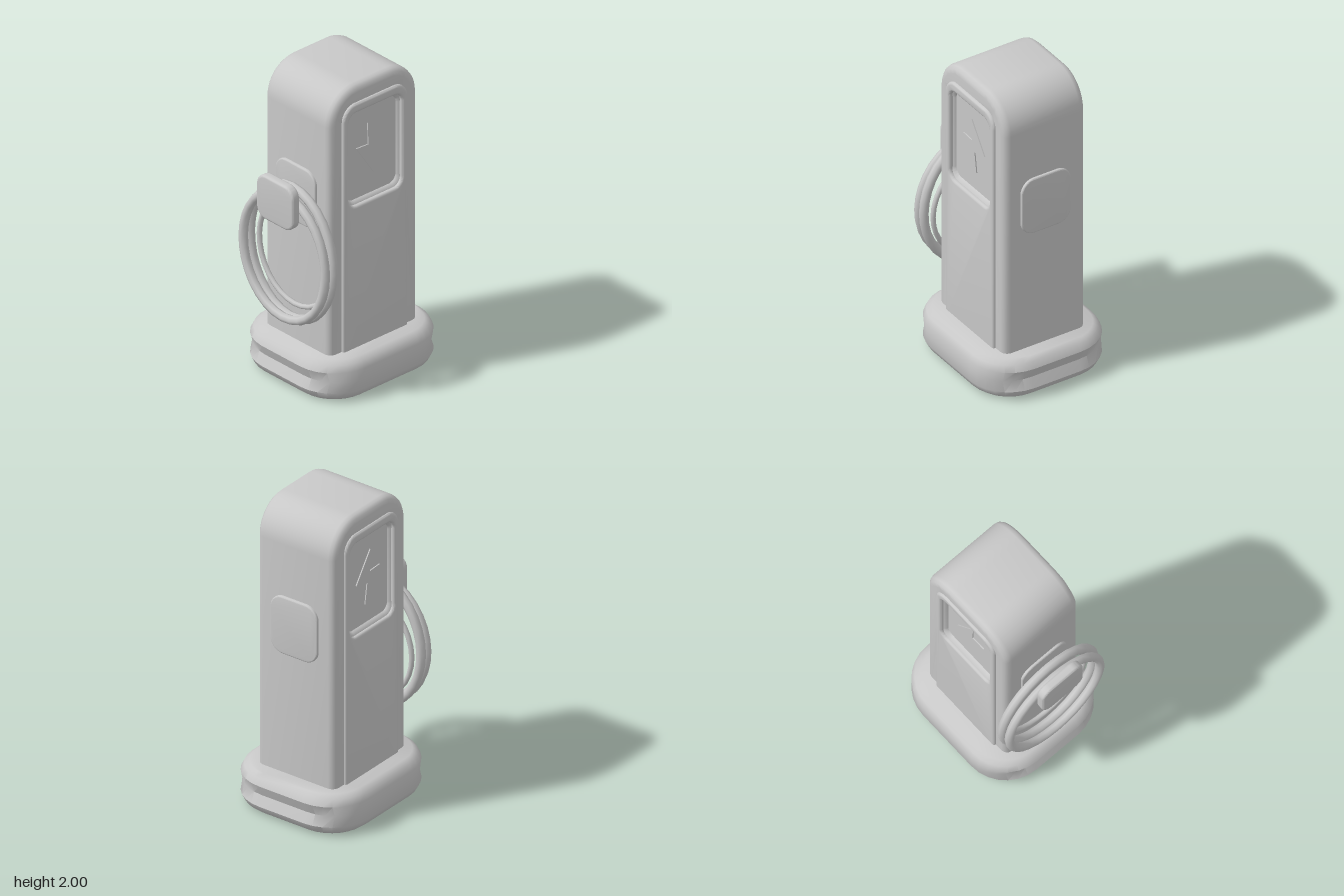
import * as THREE from 'three';
import { toCreasedNormals, mergeVertices } from 'three/addons/utils/BufferGeometryUtils.js';

// Rounded rectangle outline; separate radii for the upper and lower corners
function roundRect(target, x0, x1, y0, y1, rTop, rLow = rTop) {
  target.moveTo(x0 + rLow, y0);
  target.lineTo(x1 - rLow, y0);
  if (rLow) target.absarc(x1 - rLow, y0 + rLow, rLow, -Math.PI / 2, 0);
  target.lineTo(x1, y1 - rTop);
  target.absarc(x1 - rTop, y1 - rTop, rTop, 0, Math.PI / 2);
  target.lineTo(x0 + rTop, y1);
  target.absarc(x0 + rTop, y1 - rTop, rTop, Math.PI / 2, Math.PI);
  target.lineTo(x0, y0 + rLow);
  if (rLow) target.absarc(x0 + rLow, y0 + rLow, rLow, Math.PI, Math.PI * 1.5);
  return target;
}

// Extrusion from z0 to z1 whose bevel stays inside the outline
function slab(shape, z0, z1, bevel, thick = bevel) {
  const geo = new THREE.ExtrudeGeometry(shape, {
    depth: z1 - z0 - 2 * thick, bevelEnabled: true, bevelSize: bevel,
    bevelThickness: thick, bevelOffset: -bevel, bevelSegments: 3, curveSegments: 6,
  });
  geo.translate(0, 0, z0 + thick);
  return toCreasedNormals(geo, 0.7);
}

// Soft foot: rounded rings, with a notch running round the two x ends
function baseGeometry() {
  const rings = [[0, 0.052], [0.025, 0.02], [0.065, 0], [0.13, 0], [0.2, 0], [0.24, 0.02], [0.262, 0.052]];
  const perCorner = 8, n = perCorner * 4, pos = [], index = [];
  for (const [y, inset] of rings) {
    for (let i = 0; i < n; i++) {
      const corner = Math.floor(i / perCorner);
      const a = (corner + (i % perCorner) / (perCorner - 1)) * Math.PI / 2;
      const sx = corner === 0 || corner === 3 ? 1 : -1, sz = corner < 2 ? 1 : -1;
      const r = 0.27 - inset;
      let x = sx * 0.21 + r * Math.cos(a);
      const z = sz * 0.163 + r * Math.sin(a);
      if (y === 0.13) x -= Math.sign(x) * 0.028 * Math.max(0, Math.abs(Math.cos(a)));
      pos.push(x + 0.025, y, z);
    }
  }
  for (let k = 0; k < rings.length - 1; k++) {
    for (let i = 0; i < n; i++) {
      const j = (i + 1) % n, a = k * n + i, b = k * n + j;
      index.push(a, a + n, b, b, a + n, b + n);
    }
  }
  const top = (rings.length - 1) * n;
  for (let i = 1; i < n - 1; i++) {
    index.push(0, i, i + 1);
    index.push(top, top + i + 1, top + i);
  }
  const geo = new THREE.BufferGeometry();
  geo.setAttribute('position', new THREE.Float32BufferAttribute(pos, 3));
  geo.setIndex(index);
  return toCreasedNormals(mergeVertices(geo), 0.75);
}

export function createModel() {
  const model = new THREE.Group();
  model.name = 'chargingStation';
  const grey = new THREE.MeshStandardMaterial({ color: 0xc8c8c8 });
  grey.name = 'plain grey';

  const add = (name, geo, parent = model) => {
    const mesh = new THREE.Mesh(geo, grey);
    mesh.name = name;
    parent.add(mesh);
    return mesh;
  };

  add('base', baseGeometry());

  // Arched housing with a window opening right through it
  const arch = roundRect(new THREE.Shape(), -0.328, 0.37, 0.15, 2, 0.22, 0);
  arch.holes.push(roundRect(new THREE.Path(), -0.175, 0.21, 1.23, 1.805, 0.05));
  add('housing', slab(arch, -0.285, 0.282, 0.045));

  // Recessed screen panel closing the window from both sides
  const core = new THREE.BoxGeometry(0.46, 0.7, 0.51);
  core.translate(0.018, 1.515, 0);
  add('screenPanel', core);

  // Front and back faces share the same facing and emblem, mirrored in z
  const bolt = new THREE.Shape([
    [-0.01, 1.7], [-0.005, 1.555], [-0.1, 1.56], [0.04, 1.35], [0.02, 1.485], [0.125, 1.51],
  ].map(([x, y]) => new THREE.Vector2(x, y)));
  const facing = roundRect(new THREE.Shape(), -0.235, 0.275, 0.2, 1.89, 0.1, 0);
  facing.holes.push(roundRect(new THREE.Path(), -0.192, 0.23, 1.205, 1.828, 0.06));
  for (const side of [1, -1]) {
    const face = new THREE.Group();
    face.name = side > 0 ? 'frontFace' : 'backFace';
    const emblem = new THREE.ExtrudeGeometry(bolt, { depth: 0.008, bevelEnabled: false });
    emblem.translate(0, 0, 0.254);
    add('facing', slab(facing, 0.262, 0.3, 0.016, 0.015), face);
    add('boltEmblem', emblem, face);
    face.scale.z = side;
    model.add(face);
  }

  // Rounded square plates on the sides, and the plug in front of the coil
  const sidePlate = (name, x0, x1, y0, y1, half, r, bevel) => {
    const shape = roundRect(new THREE.Shape(), -half, half, y0, y1, r);
    add(name, slab(shape, x0, x1, bevel).rotateY(Math.PI / 2));
  };
  sidePlate('leftPlate', 0.35, 0.387, 1.06, 1.44, 0.172, 0.09, 0.008);
  sidePlate('rightPlate', -0.345, -0.31, 1.06, 1.44, 0.172, 0.09, 0.008);
  sidePlate('plug', -0.508, -0.45, 1.1, 1.39, 0.158, 0.075, 0.014);

  // Hanging cable: slightly tilted oval loops
  const loops = [
    { x: -0.43, y: 0.86, ry: 0.405, rz: 0.353, tube: 0.028 },
    { x: -0.373, y: 0.87, ry: 0.43, rz: 0.356, tube: 0.029 },
    { x: -0.337, y: 0.85, ry: 0.34, rz: 0.315, tube: 0.016 },
  ];
  const cable = new THREE.Group();
  cable.name = 'cable';
  for (const { x, y, ry, rz, tube } of loops) {
    const points = [];
    for (let i = 0; i < 16; i++) {
      const a = i / 16 * Math.PI * 2;
      points.push(new THREE.Vector3(x + 0.008 * Math.cos(a), y + ry * Math.cos(a), rz * Math.sin(a)));
    }
    const path = new THREE.CatmullRomCurve3(points, true);
    add('cableLoop', new THREE.TubeGeometry(path, 32, tube, 8, true), cable);
  }
  model.add(cable);

  return model;
}
